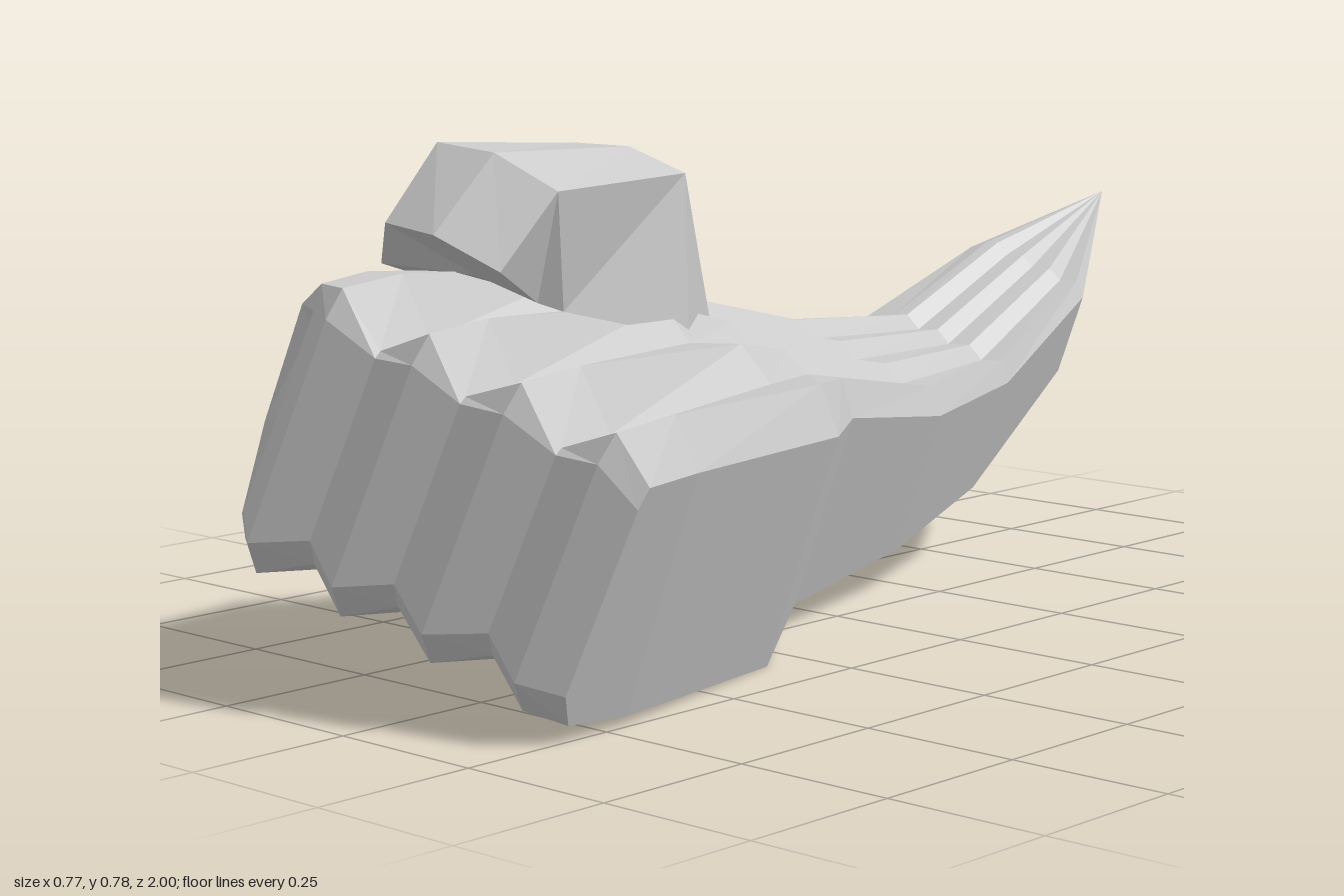
import * as THREE from 'three';

// Skin closed rings (back to front) and cap the front with strips from top to bottom points.
function loft(name, rings) {
  const pos = [];
  const tri = (a, b, c) => {
    const area = b.clone().sub(a).cross(c.clone().sub(a)).length();
    if (area > 1e-7) pos.push(...a.toArray(), ...b.toArray(), ...c.toArray());
  };
  const quad = (a, b, c, d) => { tri(a, b, c); tri(a, c, d); };
  const n = rings[0].length;
  for (let i = 0; i < rings.length - 1; i++) {
    const p = rings[i], q = rings[i + 1];
    for (let j = 0; j < n; j++) {
      const k = (j + 1) % n;
      quad(p[j], q[j], q[k], p[k]);
    }
  }
  const f = rings[rings.length - 1], half = Math.floor(n / 2), last = 2 * half - 1;
  for (let i = 0; i < half - 1; i++) quad(f[i], f[last - i], f[last - i - 1], f[i + 1]);
  if (n % 2) tri(f[n - 1], f[last], f[0]);

  const geo = new THREE.BufferGeometry();
  geo.setAttribute('position', new THREE.Float32BufferAttribute(pos, 3));
  geo.computeVertexNormals();
  const mesh = new THREE.Mesh(geo, new THREE.MeshStandardMaterial({
    color: 0xcccccc, flatShading: true, side: THREE.DoubleSide }));
  mesh.name = name;
  return mesh;
}

// Fractions across the hand: shoulder of the first finger, then ridge, valley, ridge ... outer edge.
const ACROSS = [0, 0.1, 0.22, 0.36, 0.475, 0.63, 0.755, 0.9, 1];
const COS = 0.93, SIN = 0.367; // roll of the fist about its long axis

// One cross-section: u runs across the knuckles, v up the fist; z is skewed along u.
function handRing([z, u0, u1, vb, vt, side, topGroove, botGroove, setBack = 0, lean = 0]) {
  const h = vt - vb;
  const place = (u, v, back) => new THREE.Vector3(
    u * COS + v * SIN, -u * SIN + v * COS,
    z - 0.23 * (u + 0.1) - back - lean * (v - vb));
  const edge = (out, up) => place(u0 - side * out, vb + h * up, setBack * 2.2);
  const top = [edge(0.95, 0.84)];
  const bottom = [edge(0.85, 0.09)];
  ACROSS.forEach((a, i) => {
    const u = u0 + (u1 - u0) * a;
    const valley = i > 0 && i < 8 && i % 2 === 0;
    let t = vt, b = vb + h * 0.06 * (a - 0.3), back = 0;
    if (valley) { t -= topGroove; b += botGroove; back = setBack; }
    if (i === 0) { t -= h * 0.05; b += botGroove * 0.6; back = setBack * 1.4; }
    if (i === 8) { t -= h * 0.13; back = setBack; }
    top.push(place(u, t, back));
    bottom.push(place(u, b, back));
  });
  return [...top, ...bottom.reverse(), edge(1.05, 0.42)];
}

export function createModel() {
  const group = new THREE.Group();
  group.name = 'fist';

  // Pointed forearm swelling into four grooved fingers:
  // z, u0, u1, bottom, top, side bulge, top groove, bottom groove, valley set-back, lean
  const sections = [
    [-1.079, -0.444, -0.444, 0.459, 0.459, 0, 0, 0],
    [-0.79, -0.45, -0.25, 0.212, 0.385, 0.025, 0.012, 0],
    [-0.515, -0.4, -0.17, 0.056, 0.298, 0.05, 0.015, 0],
    [-0.2, -0.39, -0.075, 0.033, 0.33, 0.045, 0.017, 0],
    [0.14, -0.37, 0, 0.028, 0.42, 0.055, 0.02, 0],
    [0.38, -0.36, 0.14, 0.037, 0.5, 0.095, 0.035, 0.01],
    [0.78, -0.34, 0.222, 0.083, 0.54, 0.06, 0.07, 0.03],
    [0.925, -0.33, 0.23, 0.1, 0.533, 0.035, 0.065, 0.042, 0.02, 0.07],
    [0.96, -0.325, 0.232, 0.155, 0.49, 0.015, 0.03, 0.03, 0.03, 0.13],
  ];
  group.add(loft('handAndForearm', sections.map(handRing)));

  // Thumb folded over the fingers: top left to right, then underside right to left
  const thumb = [
    [[-0.24, 0.48, 0.2], [-0.165, 0.5, 0.175], [-0.1, 0.455, 0.175],
      [-0.1, 0.4, 0.2], [-0.17, 0.4, 0.2], [-0.25, 0.42, 0.22]],
    [[-0.172, 0.757, 0.39], [-0.08, 0.755, 0.37], [0.02, 0.72, 0.355],
      [0.03, 0.48, 0.36], [-0.1, 0.5, 0.38], [-0.245, 0.56, 0.41]],
    [[-0.095, 0.78, 0.73], [0.01, 0.77, 0.72], [0.105, 0.72, 0.69],
      [0.05, 0.545, 0.63], [-0.06, 0.58, 0.65], [-0.18, 0.58, 0.68]],
    [[-0.115, 0.672, 0.81], [-0.01, 0.662, 0.815], [0.085, 0.615, 0.78],
      [0.04, 0.56, 0.67], [-0.055, 0.595, 0.7], [-0.16, 0.61, 0.78]],
  ];
  group.add(loft('thumb', thumb.map(r => r.map(p => new THREE.Vector3(...p)))));
  return group;
}
